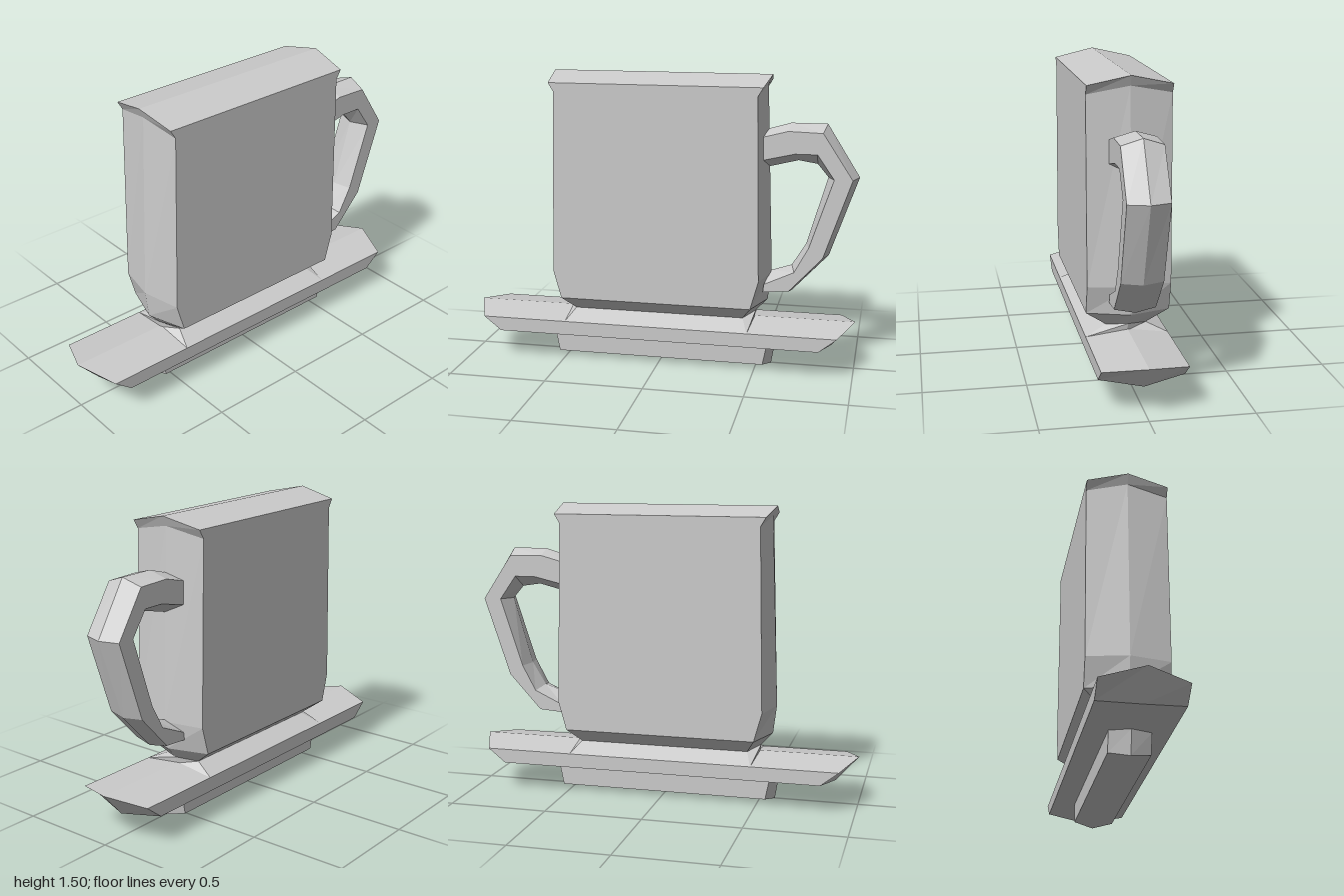
import * as THREE from 'three';

const material = new THREE.MeshStandardMaterial({ color: 0xcccccc, flatShading: true });

// Skin a row of six-point rings; each end is closed by two quads meeting at the ridge 0-3.
function loft(name, rings) {
  const pos = [];
  const quad = (a, b, c, d) => [a, b, c, a, c, d].forEach((p) => pos.push(...p));
  for (let i = 0; i < rings.length - 1; i++) {
    const r = rings[i], s = rings[i + 1];
    for (let j = 0; j < 6; j++) {
      const k = (j + 1) % 6;
      quad(r[j], r[k], s[k], s[j]);
    }
  }
  const a = rings[0], b = rings[rings.length - 1];
  quad(a[3], a[2], a[1], a[0]);
  quad(a[0], a[5], a[4], a[3]);
  quad(b[0], b[1], b[2], b[3]);
  quad(b[3], b[4], b[5], b[0]);
  const geometry = new THREE.BufferGeometry();
  geometry.setAttribute('position', new THREE.Float32BufferAttribute(pos, 3));
  geometry.computeVertexNormals();
  const mesh = new THREE.Mesh(geometry, material);
  mesh.name = name;
  return mesh;
}

// Level ring: end points (xo, yo) on the centre plane, corners (xi, yi) at depth z.
const level = (cx) => ([xo, yo, xi, yi, z]) => [
  [cx - xo, yo, 0], [cx - xi, yi, z], [cx + xi, yi, z],
  [cx + xo, yo, 0], [cx + xi, yi, -z], [cx - xi, yi, -z],
];

// Handle ring: outer ridge, outer side, inner side, inner ridge.
const handleRing = ([ox, oy, sx, sy, tx, ty, ix, iy]) => [
  [ox, oy, 0], [sx, sy, 0.1], [tx, ty, 0.1],
  [ix, iy, 0], [tx, ty, -0.1], [sx, sy, -0.1],
];

export function createModel() {
  const group = new THREE.Group();
  group.name = 'cupAndSaucer';

  // Saucer with its narrow pedestal
  group.add(loft('saucer', [
    [0.575, 0, 0.54, 0.02, 0.1],
    [0.595, 0.12, 0.56, 0.12, 0.1],
    [0.885, 0.12, 0.83, 0.145, 0.205],
    [1, 0.25, 0.92, 0.217, 0.205],
  ].map(level(0))));

  // Cup: flared foot, waist, body and rim
  group.add(loft('cup', [
    [0.49, 0.245, 0.475, 0.217, 0.205],
    [0.495, 0.28, 0.44, 0.265, 0.1],
    [0.555, 0.345, 0.49, 0.345, 0.205],
    [0.573, 0.49, 0.53, 0.49, 0.205],
    [0.538, 1.45, 0.51, 1.41, 0.205],
    [0.56, 1.5, 0.537, 1.455, 0.205],
  ].map(level(-0.005))));

  // Handle
  group.add(loft('handle', [
    [0.54, 1.23, 0.52, 1.2, 0.52, 1.085, 0.55, 1.04],
    [0.65, 1.262, 0.645, 1.233, 0.68, 1.122, 0.69, 1.075],
    [0.83, 1.262, 0.815, 1.228, 0.79, 1.122, 0.785, 1.06],
    [0.995, 1, 0.965, 1, 0.875, 1, 0.84, 0.995],
    [0.855, 0.595, 0.83, 0.6, 0.76, 0.65, 0.74, 0.65],
    [0.675, 0.402, 0.665, 0.42, 0.69, 0.52, 0.67, 0.535],
    [0.54, 0.4, 0.535, 0.41, 0.54, 0.45, 0.565, 0.5],
  ].map(handleRing)));

  return group;
}
